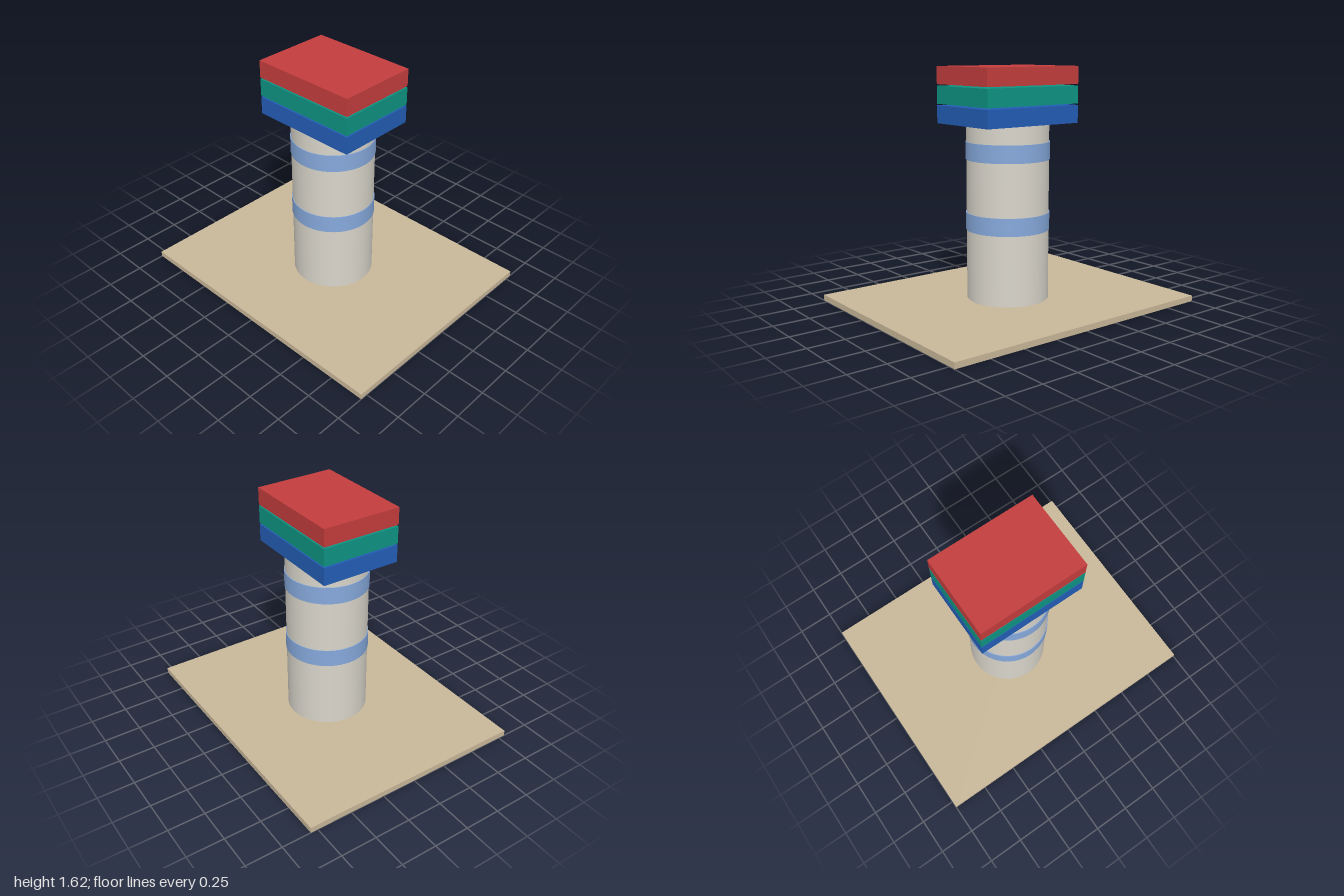
import * as THREE from 'three';

const paint = (name, color) => {
  const m = new THREE.MeshStandardMaterial({ color });
  m.name = name;
  return m;
};

export function createModel() {
  const model = new THREE.Group();
  model.name = 'model';

  // Adds a part whose underside sits at the given height
  const add = (name, geometry, material, bottom, height) => {
    const mesh = new THREE.Mesh(geometry, material);
    mesh.name = name;
    mesh.position.y = bottom + height / 2;
    model.add(mesh);
  };

  // Ground plate
  add('basePlate', new THREE.BoxGeometry(2, 0.04, 1.6), paint('sand', 0xc8b799), 0, 0.04);

  // Round column
  add('column', new THREE.CylinderGeometry(0.28, 0.28, 1.2, 48), paint('stone', 0xd9d5cb), 0.04, 1.2);

  // Bands around the column
  const bandBlue = paint('lightBlue', 0x86a9dc);
  [['lowerBand', 0.52], ['upperBand', 1.0]].forEach(([name, y]) =>
    add(name, new THREE.CylinderGeometry(0.285, 0.285, 0.12, 48), bandBlue, y, 0.12));

  // Stacked slabs on top, with narrow gaps between them
  [['bottomSlab', 'blue', 0x235db6], ['middleSlab', 'teal', 0x0e9483], ['topSlab', 'red', 0xc43d3d]]
    .forEach(([name, colorName, hex], i) =>
      add(name, new THREE.BoxGeometry(0.76, 0.12, 0.56), paint(colorName, hex), 1.24 + i * 0.13, 0.12));

  return model;
}
